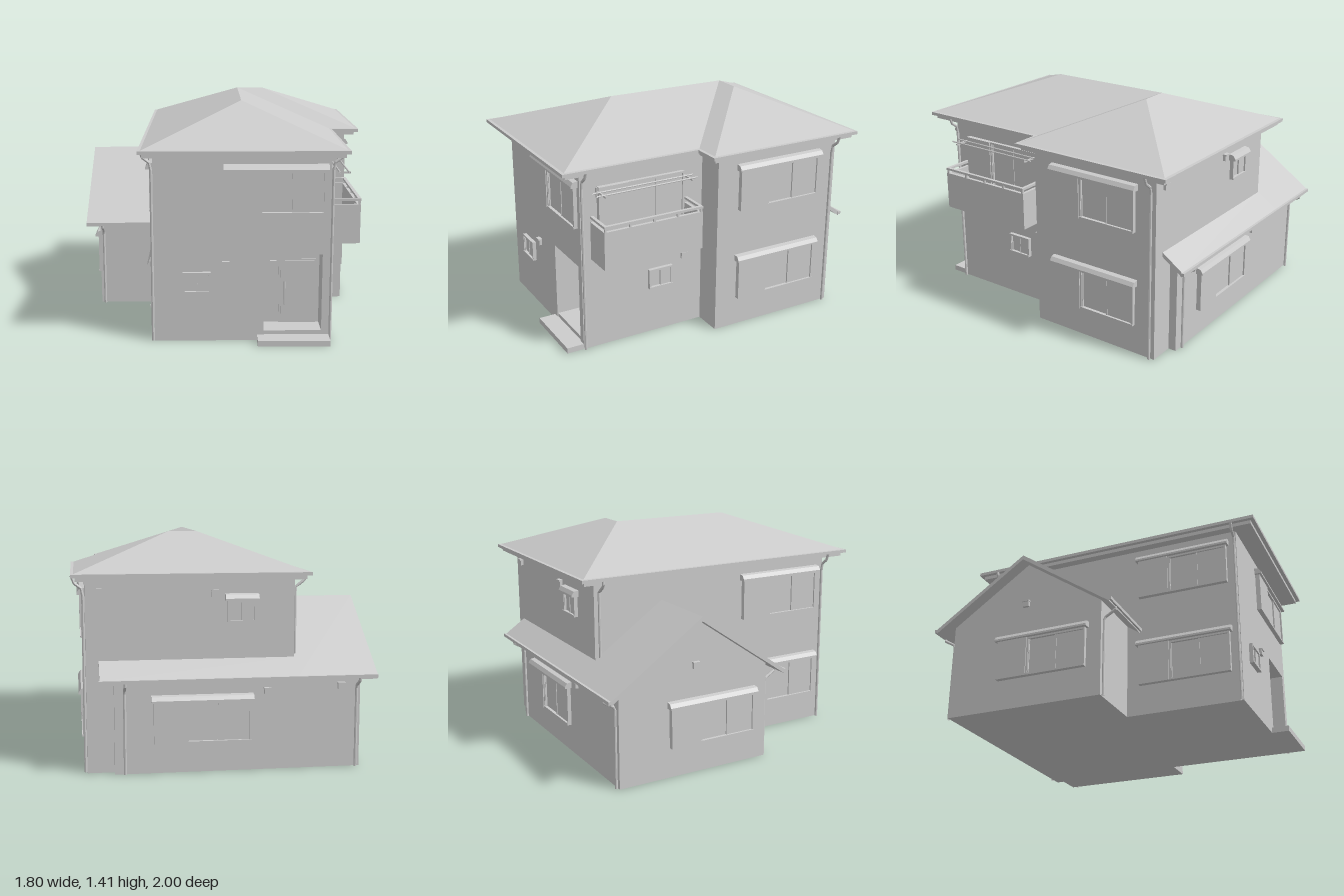
import * as THREE from 'three';

const mat = new THREE.MeshStandardMaterial({ color: 0xcccccc, flatShading: true, side: THREE.DoubleSide });

function add(parent, name, geo) {
  const m = new THREE.Mesh(geo, mat);
  m.name = name;
  parent.add(m);
  return m;
}

// Box given by its min and max on each axis
function box(parent, name, x0, x1, y0, y1, z0, z1) {
  const m = add(parent, name, new THREE.BoxGeometry(x1 - x0, y1 - y0, z1 - z0));
  m.position.set((x0 + x1) / 2, (y0 + y1) / 2, (z0 + z1) / 2);
  return m;
}

// Ground plan of [x, z] points raised from y0 to y1
function plan(parent, name, pts, y0, y1) {
  const shape = new THREE.Shape(pts.map(([x, z]) => new THREE.Vector2(x, -z)));
  const geo = new THREE.ExtrudeGeometry(shape, { depth: y1 - y0, bevelEnabled: false });
  geo.rotateX(-Math.PI / 2).translate(0, y0, 0);
  return add(parent, name, geo);
}

// Side profile of [z, y] points swept from x0 to x1
function sweepX(parent, name, pts, x0, x1) {
  const shape = new THREE.Shape(pts.map(([z, y]) => new THREE.Vector2(-z, y)));
  const geo = new THREE.ExtrudeGeometry(shape, { depth: x1 - x0, bevelEnabled: false });
  geo.rotateY(Math.PI / 2).translate(x0, 0, 0);
  return add(parent, name, geo);
}

// Round pipe along straight runs
function pipe(parent, name, pts, r = 0.009) {
  const path = new THREE.CurvePath();
  const v = pts.map((p) => new THREE.Vector3(...p));
  for (let i = 1; i < v.length; i++) path.add(new THREE.LineCurve3(v[i - 1], v[i]));
  return add(parent, name, new THREE.TubeGeometry(path, 24, r, 8));
}

// L-shaped eave outline, inset by d
const eave = (d) => [
  [-0.5 + d, 1 - d], [0.725 - d, 1 - d], [0.725 - d, 0.115 - d],
  [0.9 - d, 0.115 - d], [0.9 - d, -0.96 + d], [-0.5 + d, -0.96 + d],
];

// Window built facing +z, then turned onto its wall; origin at its bottom centre
function windowUnit(parent, name, pos, turn, w, h, { shutter = 0, hood = true, panes = 2 } = {}) {
  const g = new THREE.Group();
  g.name = name;
  g.position.set(...pos);
  g.rotation.y = turn;
  parent.add(g);
  const l = -w / 2 + shutter, r = w / 2, t = 0.012, d = 0.024;
  if (shutter) box(g, 'shutterBox', -w / 2, l, 0, h, 0, 0.03);
  box(g, 'frameLeft', l, l + t, 0, h, 0, d);
  box(g, 'frameRight', r - t, r, 0, h, 0, d);
  box(g, 'frameTop', l, r, h - t, h, 0, d);
  box(g, 'frameSill', l, r, 0, t, 0, d + 0.004);
  const pw = (r - l - 2 * t) / panes;
  for (let i = 0; i < panes; i++) {
    const x0 = l + t + i * pw, z = i % 2 ? 0.014 : 0.008;
    box(g, 'pane', x0, x0 + pw, t, h - t, 0, z);
    box(g, 'paneRail', x0 - 0.004, x0 + 0.004, t, h - t, 0, 0.018);
  }
  if (hood) {
    const s = new THREE.Shape([[0, 0], [0.045, 0], [0.045, 0.012], [0.03, 0.035], [0, 0.04]]
      .map((p) => new THREE.Vector2(-p[0], p[1])));
    const geo = new THREE.ExtrudeGeometry(s, { depth: w + 0.03, bevelEnabled: false });
    geo.rotateY(Math.PI / 2).translate(-w / 2 - 0.015, h, 0);
    add(g, 'hood', geo);
  }
}

// Small hooded wall vent
function vent(parent, pos, turn) {
  const g = new THREE.Group();
  g.name = 'vent';
  g.position.set(...pos);
  g.rotation.y = turn;
  parent.add(g);
  box(g, 'ventBody', -0.02, 0.02, -0.02, 0.02, 0, 0.018);
  box(g, 'ventCap', -0.023, 0.023, 0.012, 0.022, 0, 0.025);
}

export function createModel() {
  const house = new THREE.Group();
  house.name = 'house';
  const FRONT = 0, EAST = Math.PI / 2, BACK = Math.PI, WEST = -Math.PI / 2;

  // Main walls: the ground floor has a notch for the entrance
  const rest = [[0.635, 0.86], [0.635, 0.03], [0.82, 0.03], [0.82, -0.85], [-0.42, -0.85], [-0.42, 0.86]];
  plan(house, 'groundFloorWalls', [...rest, [0.24, 0.86], [0.24, 0.7], [0.59, 0.7], [0.59, 0.86]], 0, 0.54);
  plan(house, 'upperFloorWalls', rest, 0.54, 1.15);

  // Hipped roof with a side hip, over soffit and gutter
  plan(house, 'soffit', eave(0.025), 1.145, 1.168);
  plan(house, 'eaveGutter', eave(0), 1.168, 1.188);
  const [A, B, C, D, E, F] = eave(0.018).map(([x, z]) => [x, 1.19, z]);
  const P = [0.115, 1.41, 0.385], Q = [0.115, 1.41, -0.42], R = [0.29, 1.41, -0.42];
  const tris = [];
  for (const f of [[A, B, P], [B, C, Q, P], [C, D, R, Q], [D, E, R], [E, F, Q, R], [F, A, P, Q]])
    for (let i = 2; i < f.length; i++) tris.push(...f[0], ...f[i - 1], ...f[i]);
  const roofGeo = new THREE.BufferGeometry();
  roofGeo.setAttribute('position', new THREE.Float32BufferAttribute(tris, 3));
  roofGeo.computeVertexNormals();
  add(house, 'mainRoof', roofGeo);

  // Single-storey gabled wing and the shallow extension along the back
  sweepX(house, 'wingWalls', [[0.12, 0], [0.12, 0.61], [-0.39, 0.965], [-0.9, 0.61], [-0.9, 0]], -0.82, -0.42);
  box(house, 'backExtension', -0.42, 0.66, 0, 0.62, -0.9, -0.85);
  const slope = (z, drop = 0) => [z, 0.99 - 0.69 * Math.abs(z + 0.39) - drop];
  const T = 0.028;
  sweepX(house, 'wingRoof',
    [slope(0.205), slope(-0.39), slope(-0.985), slope(-0.985, T), slope(-0.39, T), slope(0.205, T)], -0.9, -0.42);
  sweepX(house, 'backRoof', [slope(-0.85), slope(-0.985), slope(-0.985, T), slope(-0.85, T)], -0.42, 0.745);
  box(house, 'backGutter', -0.9, 0.75, 0.56, 0.58, -1, -0.975);
  box(house, 'frontWingGutter', -0.9, -0.42, 0.56, 0.58, 0.195, 0.218);

  // Entrance
  box(house, 'entranceFloor', 0.24, 0.59, 0, 0.06, 0.7, 0.855);
  box(house, 'porchStep', 0.2, 0.635, 0, 0.035, 0.855, 0.97);
  box(house, 'doorFrame', 0.34, 0.57, 0.06, 0.47, 0.7, 0.708);
  box(house, 'door', 0.352, 0.558, 0.065, 0.46, 0.7, 0.716);
  pipe(house, 'doorHandle', [[0.375, 0.18, 0.725], [0.375, 0.33, 0.725]], 0.005);
  box(house, 'doorLamp', 0.285, 0.325, 0.42, 0.46, 0.7, 0.72);

  // Windows
  const shut = { shutter: 0.2 };
  windowUnit(house, 'frontWindow', [0.305, 0.79, 0.86], FRONT, 0.59, 0.26, shut);
  windowUnit(house, 'frontSmallWindow', [-0.165, 0.305, 0.86], FRONT, 0.17, 0.13, { hood: false });
  for (const y of [0.79, 0.19]) {
    windowUnit(house, 'eastWindow', [0.82, y, -0.415], EAST, 0.59, 0.26, shut);
    windowUnit(house, 'westWindow', [-0.42, y, 0.5], WEST, 0.59, 0.26, shut);
  }
  windowUnit(house, 'eastSmallWindow', [0.635, 0.305, 0.33], EAST, 0.165, 0.13, { hood: false });
  windowUnit(house, 'balconyWindow', [0.635, 0.66, 0.46], EAST, 0.58, 0.385, { shutter: 0.2, hood: false });
  windowUnit(house, 'wingWindow', [-0.82, 0.19, -0.27], WEST, 0.59, 0.25, shut);
  windowUnit(house, 'backWindow', [0.14, 0.18, -0.9], BACK, 0.58, 0.25, { shutter: 0.19, panes: 2 });
  windowUnit(house, 'backSmallWindow', [-0.1, 0.89, -0.85], BACK, 0.17, 0.13);

  // Vents
  vent(house, [0.01, 0.48, 0.86], FRONT);
  vent(house, [0.635, 0.48, 0.16], EAST);
  vent(house, [-0.82, 0.68, -0.39], WEST);
  for (const [x, y, z] of [[0.73, 1.08, -0.85], [0.06, 1.06, -0.85], [-0.25, 0.48, -0.9], [-0.7, 0.5, -0.9]])
    vent(house, [x, y, z], BACK);

  // Balcony with top rail
  const balcony = new THREE.Group();
  balcony.name = 'balcony';
  house.add(balcony);
  box(balcony, 'balconyFloor', 0.63, 0.82, 0.59, 0.64, 0.135, 0.795);
  box(balcony, 'balconyFrontPanel', 0.8, 0.82, 0.64, 0.83, 0.135, 0.795);
  for (const z of [0.135, 0.775]) {
    box(balcony, 'balconyEndPanel', 0.63, 0.8, 0.64, 0.83, z, z + 0.02);
    box(balcony, 'endRail', 0.635, 0.82, 0.852, 0.866, z, z + 0.02);
  }
  box(balcony, 'frontRail', 0.803, 0.823, 0.852, 0.866, 0.135, 0.795);
  for (let i = 0; i < 5; i++) {
    const z = 0.145 + i * 0.16;
    box(balcony, 'railPost', 0.807, 0.819, 0.83, 0.852, z - 0.006, z + 0.006);
  }

  // Drying poles on wall arms
  for (const z of [0.17, 0.75]) {
    box(balcony, 'poleArm', 0.635, 0.76, 1.012, 1.022, z - 0.005, z + 0.005);
    box(balcony, 'poleBracket', 0.635, 0.65, 0.98, 1.04, z - 0.008, z + 0.008);
  }
  for (const x of [0.69, 0.745]) pipe(balcony, 'dryingPole', [[x, 1.026, 0.13], [x, 1.026, 0.8]], 0.005);

  // Downpipes from the main eaves: wall x, outward direction, z, foot height
  for (const [x, s, z, foot] of [[0.645, 1, 0.85, 0], [0.83, 1, -0.82, 0], [-0.43, -1, 0.85, 0], [-0.43, -1, -0.82, 0.66]])
    pipe(house, 'downpipe', [[x + s * 0.065, 1.17, z], [x + s * 0.065, 1.14, z], [x, 1.09, z], [x, foot, z]]);

  // Downpipes from the lower eaves: x, wall z, outward direction
  for (const [x, z, s] of [[0.6, -0.91, -1], [-0.795, -0.91, -1], [-0.795, 0.13, 1]])
    pipe(house, 'lowDownpipe', [[x, 0.57, z + s * 0.075], [x, 0.545, z + s * 0.075], [x, 0.5, z], [x, 0, z]]);

  return house;
}
